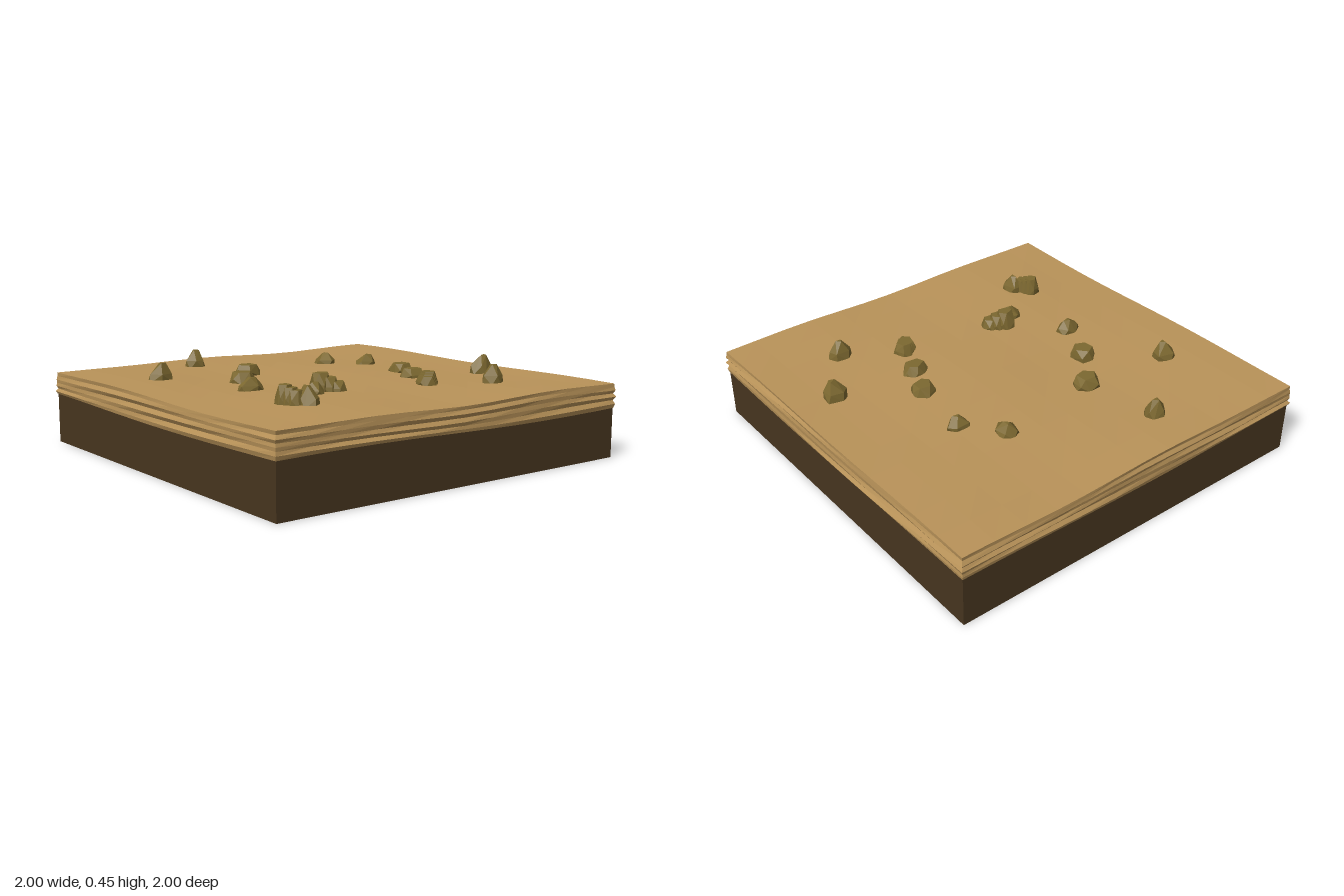
import * as THREE from 'three';
import { ConvexGeometry } from 'three/addons/geometries/ConvexGeometry.js';

const paint = (color) => new THREE.MeshStandardMaterial({ color, flatShading: true });

function seeded(seed) {
  let s = seed * 7919 + 17;
  return () => (s = (s * 16807) % 2147483647) / 2147483647;
}

// Slab with gently rolling top and layered, uneven sides
function slabGeometry() {
  const half = 0.989, height = 0.12, rows = 7;
  const geometry = new THREE.BoxGeometry(half * 2, height, half * 2, 12, rows, 12);
  const p = geometry.attributes.position;
  const v = new THREE.Vector3();
  for (let i = 0; i < p.count; i++) {
    v.fromBufferAttribute(p, i);
    const { x, z } = v;
    const t = v.y / height + 0.5;
    const row = Math.round(t * rows);
    const onX = Math.abs(x) > half - 0.001, onZ = Math.abs(z) > half - 0.001;
    // strata alternate in and out
    if (row > 0 && row < rows) {
      const push = (row % 2 ? 0.006 : -0.001) + 0.003 * Math.sin(5 * x - 4 * z + row * 2.3);
      if (onX) v.x += Math.sign(x) * push;
      if (onZ) v.z += Math.sign(z) * push;
    }
    const topWave = 0.005 * Math.sin(4.2 * (x + z) + 0.6) + 0.003 * Math.sin(7 * x - 2 * z);
    const layerWave = 0.008 * Math.sin(3 * x + 2.4 * z + 1 + row * 0.5);
    v.y = 0.243 + height * t + THREE.MathUtils.lerp(layerWave, topWave, t);
    p.setXYZ(i, v.x, v.y, v.z);
  }
  geometry.computeVertexNormals();
  return geometry;
}

// Faceted stone: irregular base ring, shoulder ring and smaller crown
function rockGeometry(w, d, h, flat, seed) {
  const rand = seeded(seed);
  const crown = flat ? 0.68 : 0.3;
  const lean = flat ? 0.06 : 0.2;
  const points = [];
  const ring = (n, y, scale, dx, dz) => {
    const start = rand() * 6;
    for (let i = 0; i < n; i++) {
      const a = start + ((i + 0.4 * rand()) / n) * Math.PI * 2;
      const r = scale * (0.9 + 0.2 * rand()) / 2;
      points.push(new THREE.Vector3(Math.cos(a) * w * r + dx * w, y, Math.sin(a) * d * r + dz * d));
    }
  };
  ring(6, 0, 1, 0, 0);
  ring(5, h * 0.45, 0.92, 0, 0);
  ring(flat ? 5 : 3, h, crown, lean * (rand() - 0.5), lean * (rand() - 0.5));
  return new ConvexGeometry(points);
}

// x, z, width, depth, top height, broad flat crown
const ROCKS = [
  [-0.31, -0.75, 0.12, 0.10, 0.45, 0],
  [-0.70, -0.42, 0.13, 0.10, 0.45, 0],
  [-0.235, -0.36, 0.15, 0.13, 0.41, 1],
  [-0.395, -0.155, 0.13, 0.14, 0.41, 1],
  [0.315, -0.43, 0.11, 0.12, 0.42, 0],
  [0.465, -0.26, 0.13, 0.09, 0.42, 0],
  [-0.505, 0.085, 0.14, 0.09, 0.42, 0],
  [0.425, 0.075, 0.13, 0.14, 0.41, 1],
  [0.35, 0.25, 0.14, 0.12, 0.41, 1],
  [0.77, 0.30, 0.13, 0.10, 0.45, 0],
  [-0.36, 0.375, 0.12, 0.10, 0.42, 0],
  [0.56, 0.60, 0.12, 0.09, 0.45, 0],
  [-0.55, 0.60, 0.09, 0.12, 0.45, 0],
];

// Overlapping stones stepping along a line: x, z, stepX, stepZ, width, depth, top, drop, count
const CLUSTERS = [
  [-0.275, 0.32, 0.03, 0.02, 0.11, 0.11, 0.45, 0.02, 3],
  [0.29, 0.43, -0.02, 0.016, 0.10, 0.12, 0.42, 0.008, 3],
  [-0.615, 0.515, 0.012, 0.025, 0.09, 0.09, 0.45, 0.01, 3],
];

export function createModel() {
  const model = new THREE.Group();
  const add = (name, geometry, material, parent = model) => {
    const mesh = new THREE.Mesh(geometry, material);
    mesh.name = name;
    parent.add(mesh);
    return mesh;
  };

  add('earthBase', new THREE.BoxGeometry(1.974, 0.25, 1.974), paint(0x47351f)).position.y = 0.125;
  add('sandSlab', slabGeometry(), paint(0xb99359));

  const rocks = new THREE.Group();
  rocks.name = 'rocks';
  model.add(rocks);
  const stone = paint(0x7c6830);
  const ground = 0.352;
  ROCKS.forEach(([x, z, w, d, top, flat], i) => {
    add('rock', rockGeometry(w, d, top - ground, flat, i + 3), stone, rocks).position.set(x, ground, z);
  });

  CLUSTERS.forEach(([x, z, sx, sz, w, d, top, drop, count], c) => {
    const cluster = new THREE.Group();
    cluster.name = 'rockCluster';
    rocks.add(cluster);
    for (let i = 0; i < count; i++) {
      const geometry = rockGeometry(w, d, top - drop * i - ground, 1, c + 40);
      add('clusterRock', geometry, stone, cluster).position.set(x + sx * i, ground, z + sz * i);
    }
  });
  return model;
}
